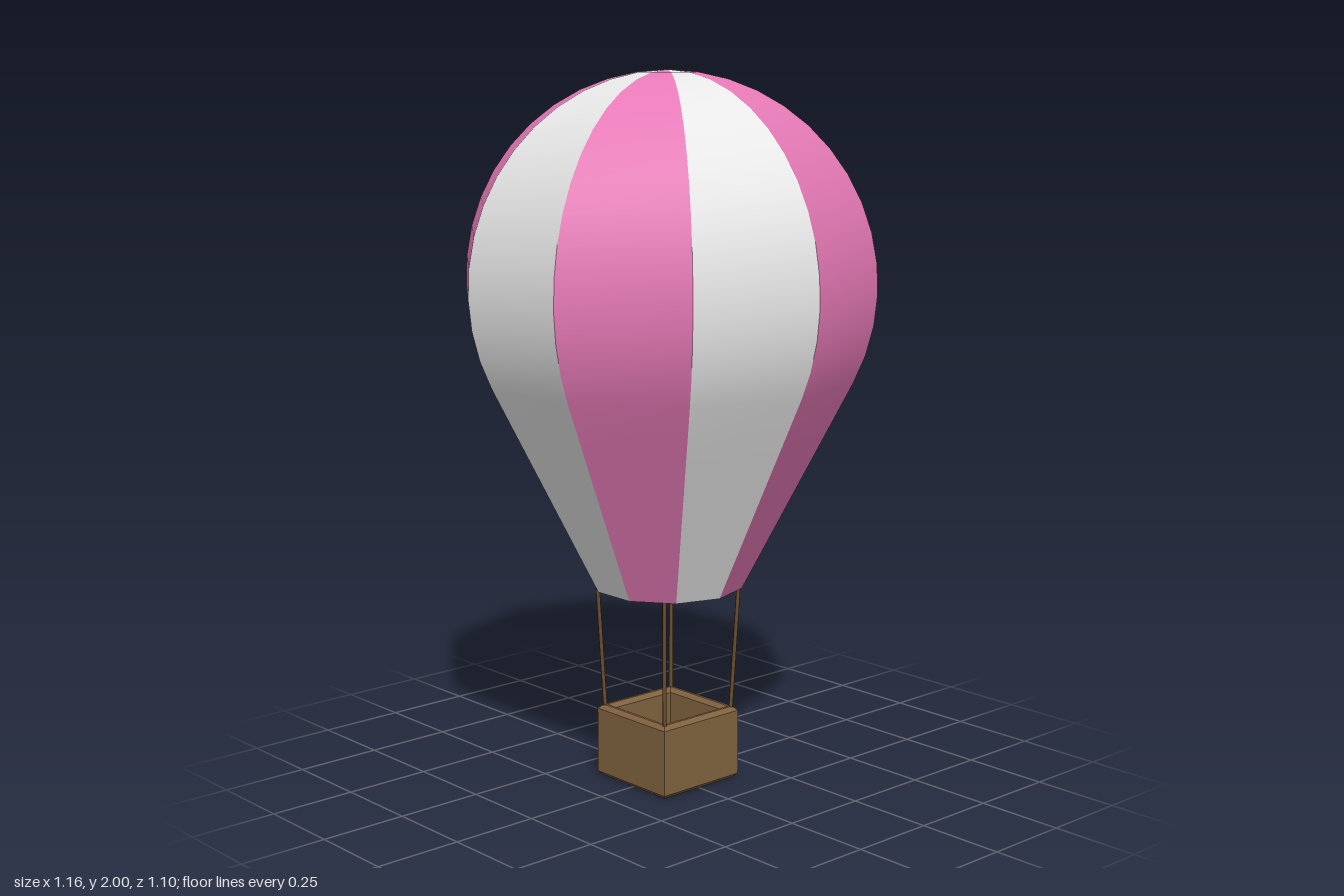
import * as THREE from 'three';

const SIDES = 10, RADIUS = 0.578, CENTER_Y = 1.422, MOUTH_Y = 0.568, MOUTH_R = 0.212;

// Envelope profile [radius, height]: a straight cone flowing into a sphere
function envelopeProfile() {
  const points = [];
  const start = -0.47, steps = 14;
  const r0 = RADIUS * Math.cos(start), y0 = CENTER_Y + RADIUS * Math.sin(start);
  for (let i = 0; i < 4; i++) {
    const t = i / 4;
    points.push([MOUTH_R + (r0 - MOUTH_R) * t, MOUTH_Y + (y0 - MOUTH_Y) * t]);
  }
  for (let i = 0; i <= steps; i++) {
    const a = start + (Math.PI / 2 - start) * i / steps;
    points.push([Math.max(RADIUS * Math.cos(a), 0.0005), CENTER_Y + RADIUS * Math.sin(a)]);
  }
  return points;
}

// One gore: flat across, smooth from mouth to crown
function goreGeometry(profile, a0, a1) {
  const positions = [], index = [];
  profile.forEach(([r, y], i) => {
    for (const a of [a0, a1]) positions.push(r * Math.cos(a), y, r * Math.sin(a));
    if (i > 0) {
      const k = 2 * (i - 1);
      index.push(k, k + 2, k + 1, k + 1, k + 2, k + 3);
    }
  });
  const geometry = new THREE.BufferGeometry();
  geometry.setAttribute('position', new THREE.Float32BufferAttribute(positions, 3));
  geometry.setIndex(index);
  geometry.computeVertexNormals();
  return geometry;
}

function squarePath(half, PathType) {
  return new PathType([[-1, -1], [1, -1], [1, 1], [-1, 1]]
    .map(([x, y]) => new THREE.Vector2(x * half, y * half)));
}

function addMesh(parent, name, geometry, material) {
  const mesh = new THREE.Mesh(geometry, material);
  mesh.name = name;
  parent.add(mesh);
  return mesh;
}

export function createModel() {
  const model = new THREE.Group();
  model.name = 'hotAirBalloon';

  const white = new THREE.MeshStandardMaterial({ name: 'white cloth', color: 0xe8e8e8, side: THREE.DoubleSide });
  const pink = new THREE.MeshStandardMaterial({ name: 'pink cloth', color: 0xf280c0, side: THREE.DoubleSide });
  const brown = new THREE.MeshStandardMaterial({ name: 'basket brown', color: 0x80623e });
  const ropeBrown = new THREE.MeshStandardMaterial({ name: 'rope brown', color: 0x6b4d2e });

  // Envelope of alternating gores, white in front and pink at the back
  const envelope = new THREE.Group();
  envelope.name = 'envelope';
  const profile = envelopeProfile();
  const step = Math.PI * 2 / SIDES;
  for (let i = 0; i < SIDES; i++) {
    addMesh(envelope, 'gore' + (i + 1), goreGeometry(profile, i * step, (i + 1) * step), i % 2 ? pink : white);
  }
  model.add(envelope);

  // Open basket with bevelled walls
  const basket = new THREE.Group();
  basket.name = 'basket';
  const bevel = 0.012, height = 0.212;
  const outline = squarePath(0.13, THREE.Shape);
  outline.holes.push(squarePath(0.122, THREE.Path));
  const walls = new THREE.ExtrudeGeometry(outline, {
    depth: height - 2 * bevel, bevelEnabled: true, bevelSize: bevel, bevelThickness: bevel, bevelSegments: 1,
  });
  walls.rotateX(-Math.PI / 2);
  walls.translate(0, bevel, 0);
  addMesh(basket, 'basketWalls', walls, brown);
  addMesh(basket, 'basketFloor', new THREE.BoxGeometry(0.244, 0.02, 0.244), brown).position.y = 0.01;
  model.add(basket);

  // Ropes from the basket corners to the mouth
  const up = new THREE.Vector3(0, 1, 0);
  for (const sx of [-1, 1]) {
    for (const sz of [-1, 1]) {
      const bottom = new THREE.Vector3(sx * 0.126, 0.19, sz * 0.126);
      const top = new THREE.Vector3(sx * 0.142, 0.59, sz * 0.142);
      const direction = top.clone().sub(bottom);
      const rope = addMesh(model, 'rope', new THREE.CylinderGeometry(0.006, 0.006, direction.length(), 6), ropeBrown);
      rope.position.copy(bottom).add(top).multiplyScalar(0.5);
      rope.quaternion.setFromUnitVectors(up, direction.normalize());
    }
  }
  return model;
}
